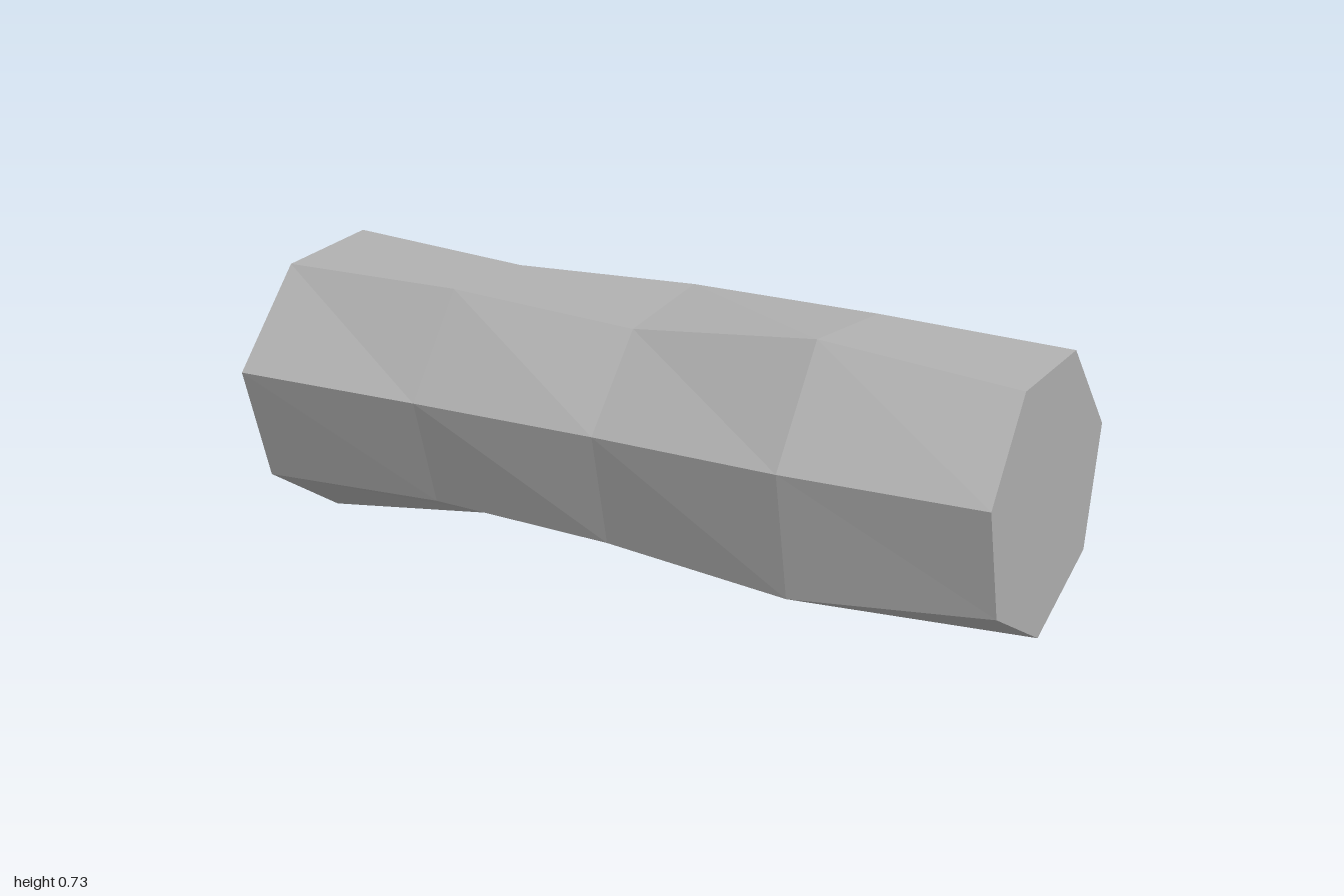
import * as THREE from 'three';

const SIDES = 7;
const AXIS_Y = 0.389;

// Radius of each corner, from the bottom round by the front; one row per ring from -x to +x
const RINGS = [
  [0.386, 0.347, 0.378, 0.348, 0.368, 0.362, 0.348],
  [0.319, 0.324, 0.349, 0.355, 0.341, 0.354, 0.353],
  [0.327, 0.340, 0.341, 0.321, 0.362, 0.356, 0.355],
  [0.370, 0.385, 0.371, 0.386, 0.360, 0.379, 0.383],
  [0.343, 0.326, 0.321, 0.331, 0.348, 0.358, 0.346],
];

function corner(ring, k) {
  const side = k % SIDES;
  const angle = (side / SIDES) * Math.PI * 2;
  const r = RINGS[ring][side];
  const x = -1 + (2 * ring) / (RINGS.length - 1);
  return [x, AXIS_Y - r * Math.cos(angle), r * Math.sin(angle)];
}

function facetedMesh(name, points, material) {
  const geometry = new THREE.BufferGeometry();
  geometry.setAttribute('position', new THREE.Float32BufferAttribute(points.flat(), 3));
  geometry.computeVertexNormals();
  const mesh = new THREE.Mesh(geometry, material);
  mesh.name = name;
  return mesh;
}

export function createModel() {
  const group = new THREE.Group();
  group.name = 'roughColumn';
  const stone = new THREE.MeshStandardMaterial({ color: 0xb0b0b0 });
  stone.name = 'grey stone';

  // Long uneven sides
  const sides = [];
  for (let i = 0; i < RINGS.length - 1; i++) {
    for (let k = 0; k < SIDES; k++) {
      const a = corner(i, k), b = corner(i + 1, k);
      const c = corner(i + 1, k + 1), d = corner(i, k + 1);
      sides.push(a, b, d, b, c, d);
    }
  }
  group.add(facetedMesh('columnSides', sides, stone));

  // Flat ends
  const last = RINGS.length - 1;
  const leftEnd = [], rightEnd = [];
  for (let k = 0; k < SIDES; k++) {
    rightEnd.push([-1, AXIS_Y, 0], corner(0, k), corner(0, k + 1));
    leftEnd.push([1, AXIS_Y, 0], corner(last, k + 1), corner(last, k));
  }
  group.add(facetedMesh('rightEnd', rightEnd, stone));
  group.add(facetedMesh('leftEnd', leftEnd, stone));

  return group;
}
